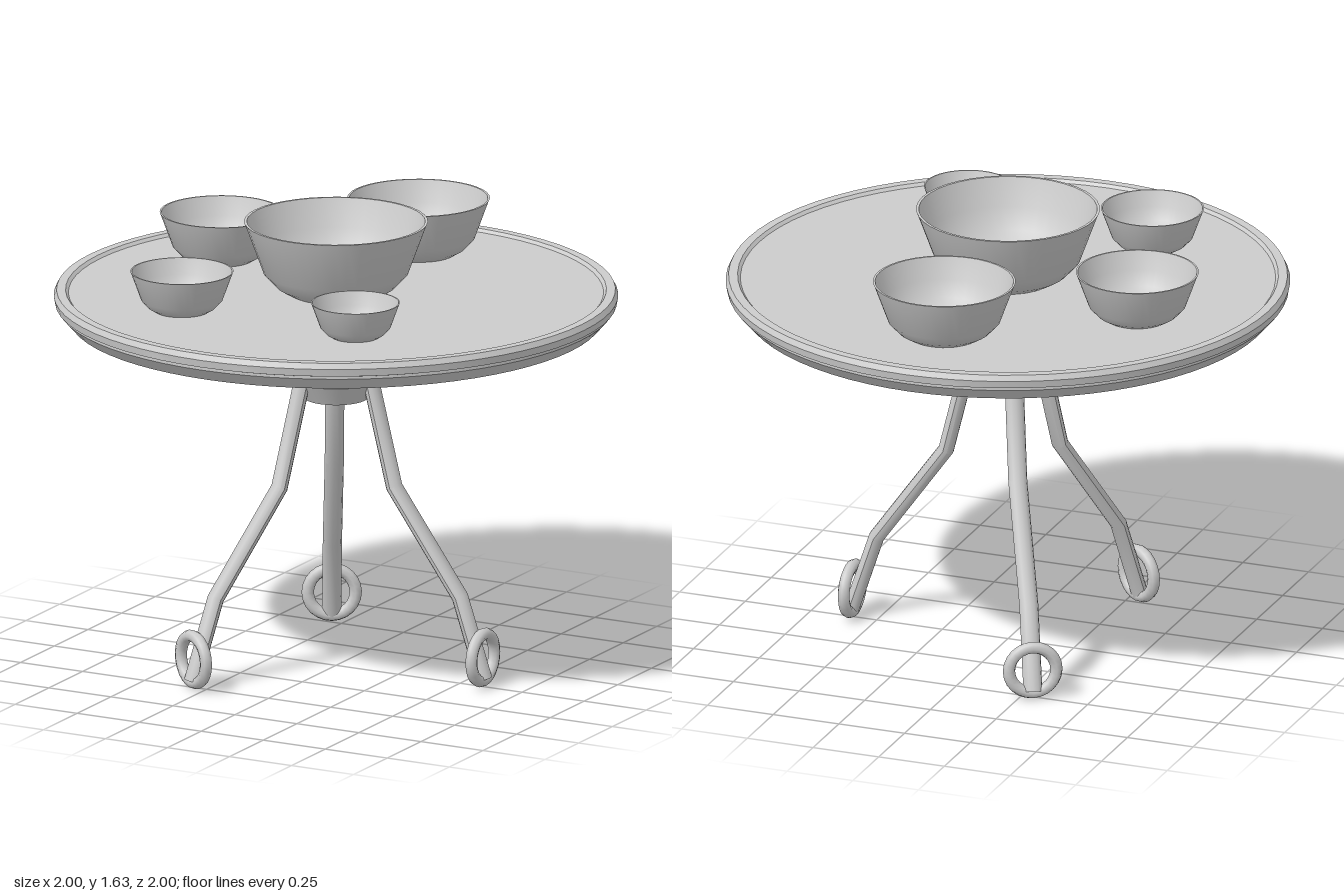
import * as THREE from 'three';
import { toCreasedNormals } from 'three/addons/utils/BufferGeometryUtils.js';

const ceramic = new THREE.MeshStandardMaterial({ color: 0xcccccc });
ceramic.name = 'light grey';

function part(name, geometry) {
  const mesh = new THREE.Mesh(geometry, ceramic);
  mesh.name = name;
  return mesh;
}

// Revolved profile, listed from the bottom, up the outside, then inwards
function turned(points, segments, crease = 0.45) {
  const profile = points.map(([r, y]) => new THREE.Vector2(r, y));
  return toCreasedNormals(new THREE.LatheGeometry(profile, segments), crease);
}

// Bent leg in the x-y plane: mitred oval rings along a radial path, capped
function legGeometry(path, inPlane, sideways, sides = 12) {
  const pts = path.map(([x, y]) => new THREE.Vector2(x, y));
  const last = pts.length - 1;
  const pos = [], index = [];
  pts.forEach((p, i) => {
    const t = new THREE.Vector2();
    if (i > 0) t.add(p.clone().sub(pts[i - 1]).normalize());
    if (i < last) t.add(pts[i + 1].clone().sub(p).normalize());
    t.normalize();
    for (let j = 0; j < sides; j++) {
      const a = (j / sides) * Math.PI * 2;
      const n = Math.cos(a) * inPlane;
      pos.push(p.x - t.y * n, p.y + t.x * n, Math.sin(a) * sideways);
    }
  });
  const top = pos.length / 3, foot = top + 1;
  pos.push(pts[0].x, pts[0].y, 0, pts[last].x, pts[last].y, 0);
  for (let j = 0; j < sides; j++) {
    const k = (j + 1) % sides;
    for (let i = 0; i < last; i++) {
      const a = i * sides + j, b = i * sides + k;
      index.push(a, b, a + sides, b, b + sides, a + sides);
    }
    index.push(top, k, j, foot, last * sides + j, last * sides + k);
  }
  const geometry = new THREE.BufferGeometry();
  geometry.setAttribute('position', new THREE.Float32BufferAttribute(pos, 3));
  geometry.setIndex(index);
  return toCreasedNormals(geometry, 0.6);
}

export function createModel() {
  const model = new THREE.Group();
  model.name = 'bowlTable';

  // Round top with a raised rim and a stepped, bevelled underside
  model.add(part('tableTop', turned([
    [0, 1.28], [0.945, 1.28], [0.985, 1.325], [0.985, 1.335], [0.995, 1.338],
    [1.0, 1.365], [0.99, 1.385], [0.958, 1.385], [0.948, 1.374], [0, 1.374],
  ], 72)));

  // Turned pedestal under the top
  model.add(part('pedestal', turned([
    [0, 0.99], [0.115, 0.99], [0.155, 1.06], [0.077, 1.17],
    [0.105, 1.25], [0.1, 1.27], [0.08, 1.281], [0, 1.281],
  ], 32)));

  // Three bent legs, each ending in an upright ring
  const legShape = legGeometry(
    [[0.145, 1.05], [0.235, 0.69], [0.5, 0.32], [0.597, 0.03]], 0.028, 0.034);
  const ringShape = new THREE.TorusGeometry(0.085, 0.022, 8, 24);
  for (let i = 0; i < 3; i++) {
    const legGroup = new THREE.Group();
    legGroup.name = 'legWithRing';
    const ring = part('footRing', ringShape);
    ring.rotation.y = Math.PI / 2;
    ring.position.set(0.592, 0.11, 0);
    legGroup.add(part('leg', legShape), ring);
    legGroup.rotation.y = (i * Math.PI * 2) / 3;
    model.add(legGroup);
  }

  // One unit bowl shape, scaled for every bowl
  const bowlShape = turned([
    [0, 0], [0.5, 0], [0.65, 0.09], [0.79, 0.24], [0.99, 0.79], [1, 0.81],
    [0.97, 0.81], [0.87, 0.5], [0.76, 0.27], [0.62, 0.13], [0.44, 0.055],
    [0.22, 0.03], [0, 0.025],
  ], 40, 0.6);
  const bowls = [
    ['centreBowl', 0, 0, 0.326],
    ['backBowl', 0.005, -0.603, 0.253],
    ['sideBowl', -0.57, -0.197, 0.218],
    ['frontBowl', -0.363, 0.475, 0.183],
    ['smallBowl', 0.342, 0.485, 0.158],
  ];
  for (const [name, x, z, radius] of bowls) {
    const bowl = part(name, bowlShape);
    bowl.scale.setScalar(radius);
    bowl.position.set(x, 1.371, z);
    model.add(bowl);
  }
  return model;
}
